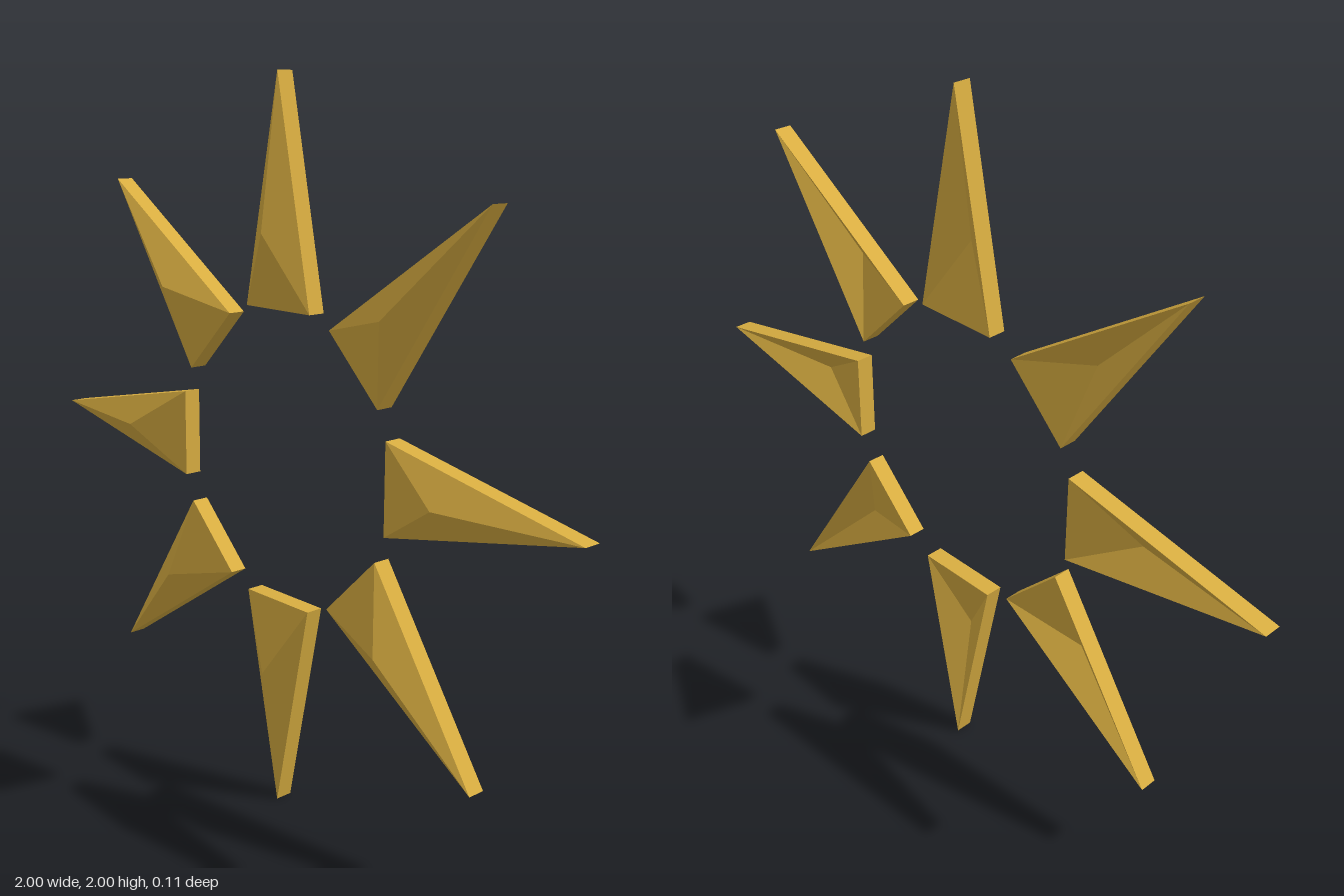
import * as THREE from 'three';

const TIP = 1, BASE = 0.4, APEX = 0.6, HALF = 0.123; // radial layout of one ray
const RIM = -0.003, RISE = 0.055, THICK = 0.05;      // depth layout along z

// One ray: a faceted three-sided shell, raised in front and hollowed behind
function rayGeometry() {
  const outline = [[-HALF, BASE], [HALF, BASE], [0, TIP]]; // counter-clockwise from the front
  const at = ([x, y], z) => [x, y, z];
  const front = [0, APEX, RIM + RISE];
  const back = [0, APEX, RIM + RISE - THICK];
  const p = [];
  for (let i = 0; i < 3; i++) {
    const a = outline[i], b = outline[(i + 1) % 3];
    const af = at(a, RIM), bf = at(b, RIM);
    const ab = at(a, RIM - THICK), bb = at(b, RIM - THICK);
    p.push(...af, ...bf, ...front);                   // raised front facet
    p.push(...bb, ...ab, ...back);                    // hollow back facet
    p.push(...ab, ...bb, ...bf, ...ab, ...bf, ...af); // side wall
  }
  const g = new THREE.BufferGeometry();
  g.setAttribute('position', new THREE.Float32BufferAttribute(p, 3));
  g.computeVertexNormals();
  return g;
}

export function createModel() {
  const model = new THREE.Group();
  model.name = 'sunburst';
  const gold = new THREE.MeshStandardMaterial({ color: 0xd9ae41, flatShading: true });
  const geometry = rayGeometry();

  // Eight rays in a ring around the open centre
  for (let i = 0; i < 8; i++) {
    const ray = new THREE.Mesh(geometry, gold);
    ray.name = `ray${i + 1}`;
    ray.position.y = 1;
    ray.rotation.z = (i * Math.PI) / 4;
    model.add(ray);
  }
  return model;
}
